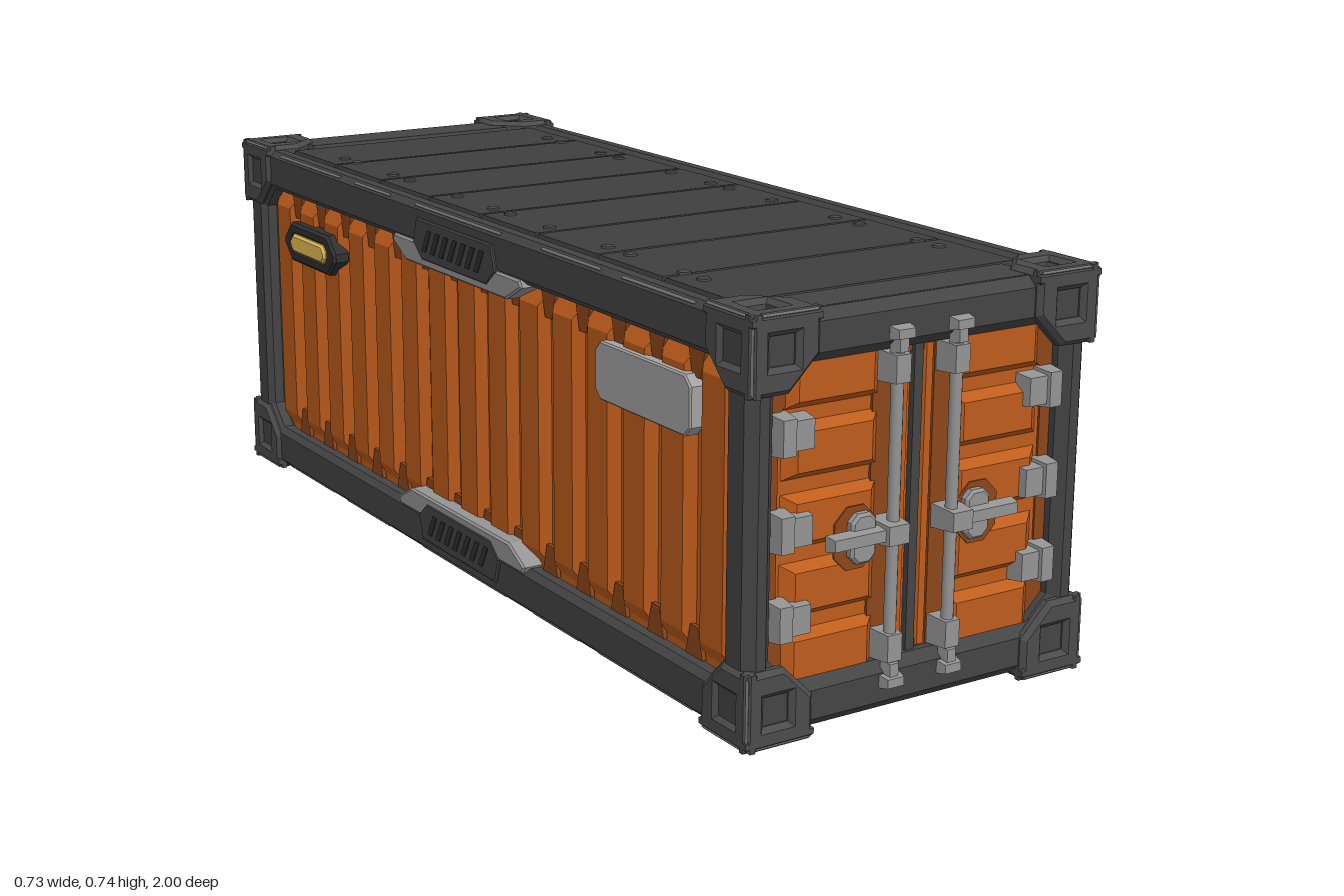
import * as THREE from 'three';

const mat = (name, color) => {
  const m = new THREE.MeshStandardMaterial({ color });
  m.name = name;
  return m;
};

const H = 0.735, MID = H / 2; // overall height and its middle

export function createModel() {
  const frame = mat('dark frame', 0x444444);
  const casting = mat('casting grey', 0x4b4b4b);
  const wear = mat('worn edge', 0x707070);
  const deckGrey = mat('deck grey', 0x3f3f3f);
  const seam = mat('seam', 0x303030);
  const orange = mat('orange paint', 0xbe5c1c);
  const rust = mat('dark orange', 0x8c451a);
  const steel = mat('steel', 0x949494);
  const plateGrey = mat('plate grey', 0xa2a2a2);
  const glow = mat('lamp glow', 0xe8bd58);

  const add = (parent, name, geo, material, x = 0, y = 0, z = 0) => {
    const m = new THREE.Mesh(geo, material);
    m.name = name;
    m.position.set(x, y, z);
    parent.add(m);
    return m;
  };
  const group = (parent, name) => {
    const g = new THREE.Group();
    g.name = name;
    parent.add(g);
    return g;
  };
  const box = (w, h, d) => new THREE.BoxGeometry(w, h, d);

  // Block standing on z = 0 whose front face is inset by ix, iy
  const taper = (w, h, d, ix, iy = ix) => {
    const g = box(w, h, d).translate(0, 0, d / 2);
    const p = g.attributes.position;
    for (let i = 0; i < p.count; i++) {
      if (p.getZ(i) > d / 2) {
        p.setX(i, p.getX(i) - Math.sign(p.getX(i)) * ix);
        p.setY(i, p.getY(i) - Math.sign(p.getY(i)) * iy);
      }
    }
    g.computeVertexNormals();
    return g;
  };

  const points = (list) => list.map(([x, y]) => new THREE.Vector2(x, y));
  const octagon = (w, h, c) => {
    const a = w / 2, b = h / 2;
    return points([[a, b - c], [a - c, b], [c - a, b], [-a, b - c],
      [-a, c - b], [c - a, -b], [a - c, -b], [a, c - b]]);
  };
  // Bevelled plate with its front face on z = 0
  const plate = (outline, depth, bevel = 0, hole = null) => {
    const shape = new THREE.Shape(outline);
    if (hole) shape.holes.push(new THREE.Path(hole));
    const g = new THREE.ExtrudeGeometry(shape, {
      depth: depth - 2 * bevel, bevelEnabled: bevel > 0, bevelSize: bevel,
      bevelThickness: bevel, bevelOffset: -bevel, bevelSegments: 1,
    });
    return g.translate(0, 0, bevel - depth);
  };

  const root = new THREE.Group();
  root.name = 'cargoContainer';
  add(root, 'bodyShell', box(0.63, 0.65, 1.88), orange, 0, MID, 0);

  // Corner castings: three pocketed faces around a core, with worn edges
  const cut = points([[0, 0], [-0.137, 0], [-0.137, -0.078], [-0.078, -0.137], [0, -0.137]]);
  const pocket = points([[-0.039, -0.039], [-0.09, -0.039], [-0.09, -0.09], [-0.039, -0.09]]);
  const face = plate(cut, 0.028, 0.009, pocket);
  const edge = box(0.12, 0.005, 0.005).rotateX(Math.PI / 4);
  const diagonal = new THREE.Vector3(1, 1, 1).normalize();
  for (const flip of [0, Math.PI]) {
    for (let k = 0; k < 4; k++) {
      const c = group(root, 'cornerCasting');
      c.rotation.set(flip, k * Math.PI / 2, 0, 'YXZ');
      const out = new THREE.Vector3(1, 1, 1).applyEuler(c.rotation);
      c.position.set(out.x * 0.363, MID + out.y * MID, out.z * 0.988);
      add(c, 'castingCore', box(0.082, 0.082, 0.082), frame, -0.061, -0.061, -0.061);
      for (let i = 0; i < 3; i++) {
        const side = group(c, 'castingSide');
        side.quaternion.setFromAxisAngle(diagonal, i * Math.PI * 2 / 3);
        add(side, 'castingFace', face, casting);
        add(side, 'castingWornEdge', edge, wear, -0.07, -0.0045, -0.0045);
      }
    }
  }

  // Door ends, front and back alike
  const endFrame = plate(octagon(0.71, 0.715, 0.02), 0.07, 0.018, octagon(0.6, 0.54, 0.045));
  const doorBorder = plate(octagon(0.62, 0.56, 0.045), 0.005, 0, octagon(0.555, 0.51, 0.07));
  const doorRib = taper(0.195, 0.095, 0.018, 0.022, 0.014);
  const rod = new THREE.CylinderGeometry(0.011, 0.011, 0.6, 12);
  for (const turn of [0, Math.PI]) {
    const e = group(root, turn ? 'backDoors' : 'frontDoors');
    e.rotation.y = turn;
    add(e, 'doorFrame', endFrame, frame, 0, MID, 0.976);
    add(e, 'doorBorder', doorBorder, rust, 0, MID, 0.944);
    add(e, 'doorGap', box(0.018, 0.55, 0.02), frame, 0, MID, 0.942);
    for (const s of [-1, 1]) {
      for (let i = 0; i < 5; i++) add(e, 'doorRib', doorRib, orange, s * 0.172, 0.13 + i * 0.119, 0.94);
      add(e, 'doorEdge', taper(0.022, 0.54, 0.008, 0.004), orange, s * 0.026, MID, 0.94);
      add(e, 'rodBacking', box(0.05, 0.54, 0.006), rust, s * 0.064, MID, 0.942);
      add(e, 'latchBacking', plate(octagon(0.085, 0.11, 0.025), 0.004), rust, s * 0.13, 0.325, 0.961);

      // Locking rod, its brackets and handle
      add(e, 'lockRod', rod, steel, s * 0.062, MID, 0.974);
      for (const v of [-1, 1]) {
        add(e, 'rodEnd', taper(0.044, 0.026, 0.026, 0.005), steel, s * 0.062, MID + v * 0.302, 0.97);
        add(e, 'rodPin', taper(0.026, 0.04, 0.022, 0.004), steel, s * 0.062, MID + v * 0.286, 0.968);
        add(e, 'rodCollar', taper(0.042, 0.054, 0.052, 0.006, 0.003), steel, s * 0.062, MID + v * 0.242, 0.938);
      }
      add(e, 'handleHub', taper(0.052, 0.044, 0.062, 0.005), steel, s * 0.068, 0.329, 0.938);
      add(e, 'handleBar', taper(0.12, 0.028, 0.022, 0.004), steel, s * 0.138, 0.329, 0.97);
      add(e, 'handleLatch', plate(octagon(0.052, 0.088, 0.014), 0.04, 0.005), steel, s * 0.121, 0.325, 0.976);

      // Hinges
      for (const y of [0.207, 0.36, 0.523]) {
        add(e, 'hingeLeaf', taper(0.046, 0.058, 0.034, 0.004), steel, s * 0.246, y, 0.94);
        add(e, 'hingeBarrel', taper(0.036, 0.07, 0.04, 0.005, 0.004), steel, s * 0.28, y, 0.94);
      }
    }
  }

  // Long sides
  const sideFrame = plate(octagon(1.94, 0.715, 0.02), 0.045, 0.012, octagon(1.805, 0.545, 0.045));
  const sideRib = taper(0.102, 0.53, 0.018, 0.018, 0.03);
  const wedge = plate(points([[-0.026, 0], [0.026, 0], [0.012, 0.055], [-0.012, 0.055]]), 0.008);
  for (const s of [1, -1]) {
    const side = group(root, s > 0 ? 'leftSide' : 'rightSide');
    side.rotation.y = s * Math.PI / 2;
    add(side, 'sideFrame', sideFrame, frame, 0, MID, 0.355);
    for (let i = -7; i <= 7; i++) add(side, 'sideRib', sideRib, orange, i * 0.12, MID, 0.315);

    // Blank plate and lamp
    add(side, 'signPlate', plate(octagon(0.3, 0.106, 0.018), 0.03, 0.003), plateGrey, -s * 0.642, 0.538, 0.346);
    const lamp = group(side, 'lamp');
    lamp.position.set(s * 0.672, 0.54, 0);
    add(lamp, 'lampHousing', plate(octagon(0.25, 0.086, 0.034), 0.04, 0.006, octagon(0.168, 0.036, 0.012)), seam, 0, 0, 0.353);
    add(lamp, 'lampGlow', plate(octagon(0.172, 0.04, 0.014), 0.04, 0.005), glow, 0, 0, 0.358);

    // Same fittings on the upper and lower rail
    for (const v of [0, 1]) {
      const rail = group(side, v ? 'lowerRail' : 'upperRail');
      rail.position.y = MID;
      rail.rotation.z = v * Math.PI;
      const rim = points([[-0.2, 0.236], [0.2, 0.236], [0.258, 0.268], [0.25, 0.282], [-0.25, 0.282], [-0.258, 0.268]]);
      add(rail, 'gripRim', plate(rim, 0.045, 0.004), steel, 0, 0, 0.359);
      const pad = points([[-0.13, 0.25], [0.13, 0.25], [0.165, 0.28], [0.15, 0.33], [-0.15, 0.33], [-0.165, 0.28]]);
      add(rail, 'gripPad', plate(pad, 0.02, 0.003), frame, 0, 0, 0.361);
      for (let i = -3; i <= 3; i++) {
        const slat = points([[-0.02, -0.022], [-0.004, -0.022], [0.02, 0.022], [0.004, 0.022]]);
        add(rail, 'gripSlat', plate(slat, 0.006), seam, i * 0.035, 0.29, 0.363);
      }
      // Dark ends between the ribs
      for (let i = -7; i < 7; i++) {
        add(rail, 'ribEnd', wedge, rust, (i + 0.5) * 0.12, -0.272, 0.326);
      }
      // Worn stretches along the rail edge
      for (const [x, w] of [[-0.66, 0.3], [-0.36, 0.16], [0, 0.34], [0.42, 0.2], [0.7, 0.22]]) {
        add(rail, 'railWear', box(w, 0.006, 0.004).rotateX(-Math.PI / 4), wear, x, 0.3515, 0.349);
      }
    }
  }

  // Roof and floor: bevelled panels, end beams and bolts
  const panel = taper(0.6, 0.21, 0.013, 0.003);
  const bolt = new THREE.CylinderGeometry(0.012, 0.014, 0.006, 8).rotateX(Math.PI / 2);
  for (const v of [1, -1]) {
    const deck = group(root, v > 0 ? 'roof' : 'floor');
    deck.position.y = MID;
    deck.rotation.x = -v * Math.PI / 2;
    add(deck, 'deckBase', box(0.66, 1.86, 0.03), seam, 0, 0, 0.328);
    for (let i = 0; i < 8; i++) add(deck, 'deckPanel', panel, deckGrey, 0, (i - 3.5) * 0.2125, 0.342);
    for (const b of [-1, 1]) {
      add(deck, 'endBeam', taper(0.5, 0.1, 0.02, 0.006), frame, 0, b * 0.91, 0.338);
      for (const z of [0.033, 0.18, 0.385, 0.46, 0.63, 0.69]) {
        for (const a of [-1, 1]) add(deck, 'deckBolt', bolt, casting, a * 0.252, b * z, 0.3555);
      }
    }
  }
  return root;
}
